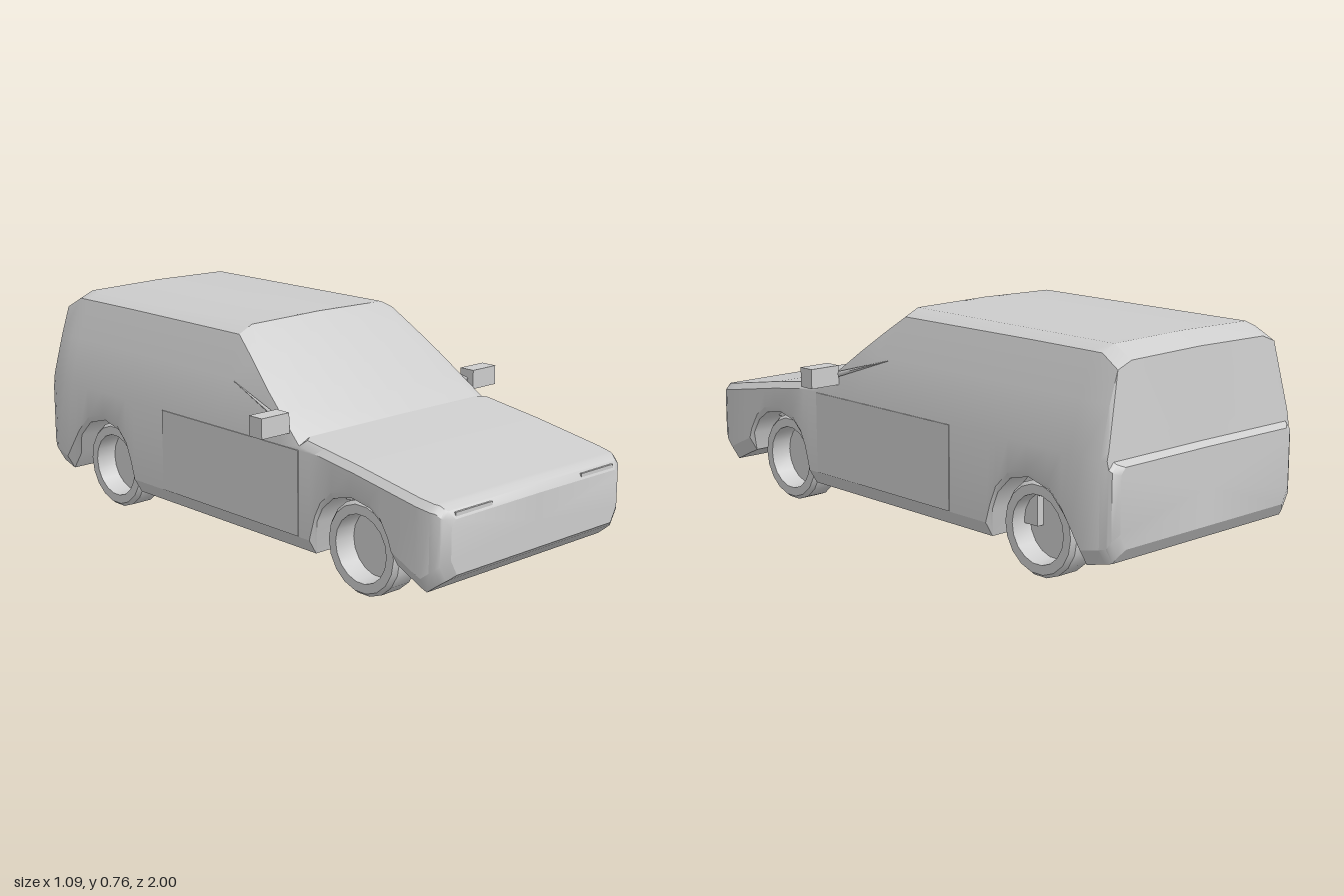
import * as THREE from 'three';
import { toCreasedNormals } from 'three/addons/utils/BufferGeometryUtils.js';

const paint = new THREE.MeshStandardMaterial({ color: 0xcccccc });
paint.name = 'light grey';

// piecewise linear lookup in [key, value] pairs with rising keys
function lookup(table, k) {
  if (k <= table[0][0]) return table[0][1];
  for (let i = 1; i < table.length; i++) {
    const [k0, v0] = table[i - 1], [k1, v1] = table[i];
    if (k <= k1) return v0 + (v1 - v0) * (k - k0) / (k1 - k0);
  }
  return table[table.length - 1][1];
}

// side silhouette by z, and body half-width by height
const topLine = [[-1, 0.42], [-0.975, 0.435], [-0.95, 0.72], [-0.88, 0.76], [0.01, 0.766],
  [0.39, 0.475], [0.64, 0.44], [0.965, 0.385], [0.985, 0.37], [1, 0.345]];
const bottomLine = [[-1, 0.17], [-0.97, 0.125], [-0.88, 0.105], [-0.835, 0.17], [-0.8, 0.25], [-0.74, 0.31],
  [-0.65, 0.335], [-0.57, 0.315], [-0.515, 0.26], [-0.49, 0.2], [-0.47, 0.105], [0.44, 0.105], [0.465, 0.22],
  [0.49, 0.27], [0.54, 0.315], [0.62, 0.335], [0.7, 0.32], [0.75, 0.285], [0.785, 0.23], [0.8, 0.16],
  [0.92, 0.105], [0.985, 0.155], [1, 0.17]];
const topEdge = [[-1, 0.42], [-0.975, 0.42], [-0.95, 0.31], [-0.88, 0.305], [0.01, 0.3], [0.39, 0.39], [0.41, 0.42], [1, 0.42]];
const taper = [[-1, 0.9], [-0.985, 0.95], [-0.95, 0.985], [-0.88, 1], [0.9, 1], [0.95, 0.985], [0.98, 0.95], [1, 0.89]];
const sideShape = [[0.155, 0.44], [0.44, 0.44], [0.6, 0.402], [0.74, 0.355]];

function bodySection(z) {
  const top = lookup(topLine, z), low = lookup(bottomLine, z), w = lookup(taper, z);
  const bevel = low > 0.18 ? 0.02 : 0.05;
  const half = [[low > 0.18 ? 0.43 : 0.41, low]];
  for (const y of [low + bevel, 0.44, 0.6, 0.74]) {
    const h = Math.min(y, top - 0.022);
    half.push([lookup(sideShape, h), h]);
  }
  half.push([lookup(topEdge, z), top]);
  const ring = [[0, low], ...half, [0, top + (top > 0.6 ? 0.005 : 0.002)],
    ...half.slice().reverse().map(([x, y]) => [-x, y])];
  return ring.map(([x, y]) => new THREE.Vector3(x * w, y, z));
}

function bodyGeometry() {
  const zs = new Set([0.1, 0.2, 0.3, 0.41]);
  for (const t of [topLine, bottomLine, taper]) t.forEach(([z]) => zs.add(z));
  const rings = [...zs].sort((a, b) => b - a).map(bodySection);
  const pos = [];
  const tri = (a, b, c) => {
    const area = b.clone().sub(a).cross(c.clone().sub(a)).length();
    if (area > 1e-9) for (const p of [a, b, c]) pos.push(p.x, p.y, p.z);
  };
  const n = rings[0].length;
  for (let i = 0; i < rings.length - 1; i++) {
    for (let j = 0; j < n; j++) {
      const k = (j + 1) % n, a = rings[i], b = rings[i + 1];
      tri(a[j], b[j], b[k]);
      tri(a[j], b[k], a[k]);
    }
  }
  // flat nose and tail
  const first = rings[0], last = rings[rings.length - 1];
  const mid = r => new THREE.Vector3(0, (r[0].y + r[6].y) / 2, r[0].z);
  for (let j = 0; j < n; j++) {
    const k = (j + 1) % n;
    tri(mid(first), first[j], first[k]);
    tri(mid(last), last[k], last[j]);
  }
  const g = new THREE.BufferGeometry();
  g.setAttribute('position', new THREE.Float32BufferAttribute(pos, 3));
  return toCreasedNormals(g, 0.5);
}

export function createModel() {
  const model = new THREE.Group();
  const add = (name, geometry, x = 0, y = 0, z = 0) => {
    const m = new THREE.Mesh(geometry, paint);
    m.name = name;
    m.position.set(x, y, z);
    model.add(m);
    return m;
  };
  const box = (name, x0, x1, y0, y1, z0, z1) => add(name,
    new THREE.BoxGeometry(Math.abs(x1 - x0), y1 - y0, z1 - z0), (x0 + x1) / 2, (y0 + y1) / 2, (z0 + z1) / 2);

  add('body', bodyGeometry());

  // stepped underbody between the wheels
  box('rearUnderbody', -0.34, 0.34, 0.15, 0.34, -0.6, -0.46);
  box('rearAxleStep', -0.34, 0.34, 0.25, 0.36, -0.68, -0.59);
  box('frontUnderbody', -0.35, 0.35, 0.29, 0.36, 0.5, 0.74);
  box('windshieldTrim', -0.095, 0.095, 0.755, 0.77, -0.002, 0.008);

  // wheels with dished rims, built along the axle
  const profile = [[0, -0.055], [0.143, -0.055], [0.155, -0.04], [0.155, 0.04], [0.143, 0.055],
    [0.112, 0.055], [0.108, -0.02], [0, -0.02]].map(p => new THREE.Vector2(...p));
  const wheelGeometry = toCreasedNormals(new THREE.LatheGeometry(profile, 18), 0.5);

  for (const s of [1, -1]) {
    const side = s > 0 ? 'left' : 'right';
    for (const [end, z] of [['Front', 0.62], ['Rear', -0.65]]) {
      add(side + end + 'Wheel', wheelGeometry, s * 0.335, 0.16, z).rotation.z = -s * Math.PI / 2;
    }
    box(side + 'Mirror', s * 0.43, s * 0.545, 0.483, 0.55, 0.277, 0.337);
    box(side + 'Headlight', s * 0.21, s * 0.37, 0.335, 0.364, 0.975, 0.996);
    box(side + 'Door', s * 0.438, s * 0.443, 0.157, 0.44, -0.3, 0.39);

    // thin tapering brace from the mirror along the window
    const from = new THREE.Vector3(s * 0.43, 0.51, 0.31), to = new THREE.Vector3(s * 0.405, 0.595, 0.04);
    const dir = to.clone().sub(from);
    const brace = add(side + 'MirrorBrace', new THREE.CylinderGeometry(0.001, 0.01, dir.length(), 4));
    brace.position.copy(from).addScaledVector(dir, 0.5);
    brace.quaternion.setFromUnitVectors(new THREE.Vector3(0, 1, 0), dir.normalize());
  }
  return model;
}
